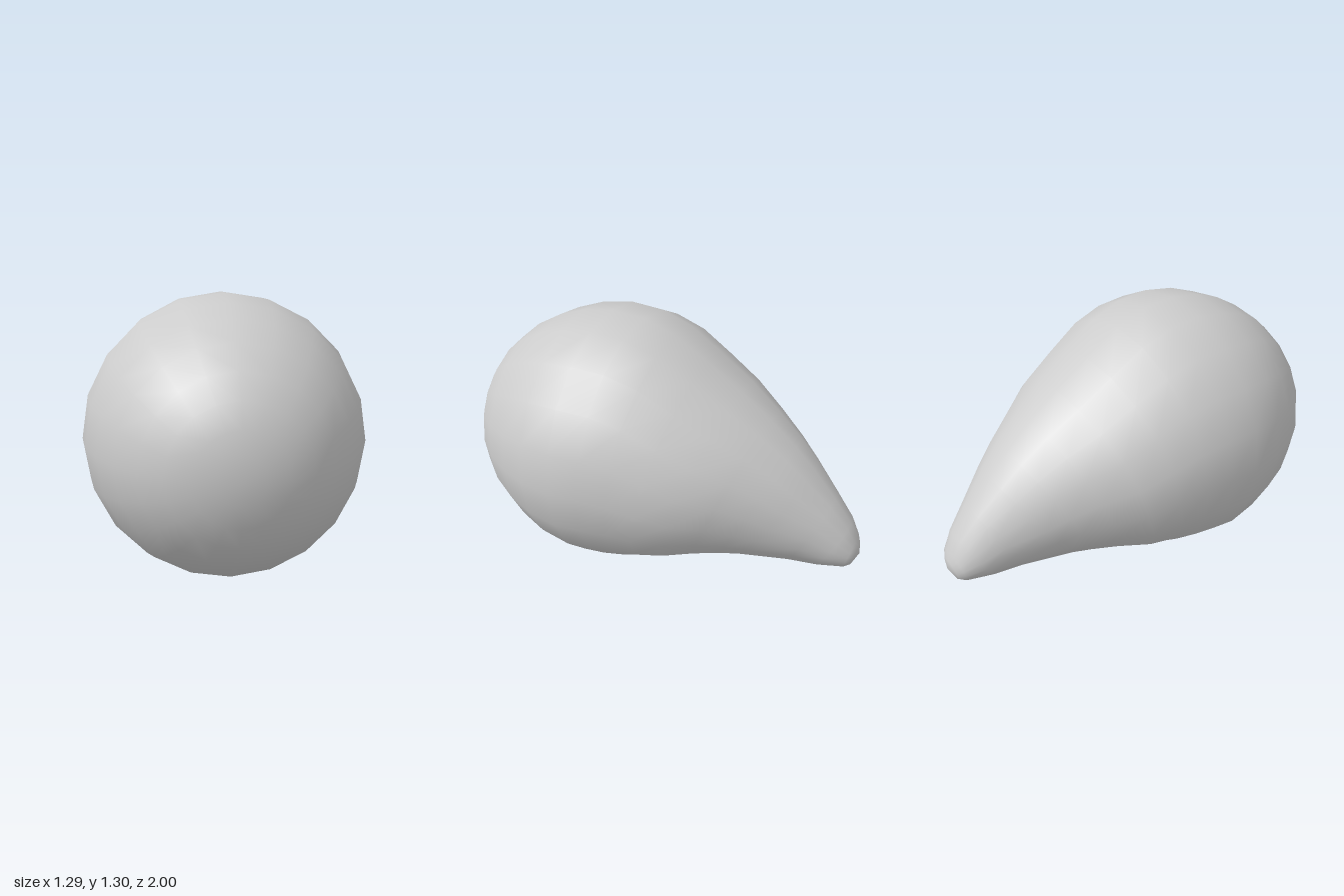
import * as THREE from 'three';

const SIDES = 20;

// Cross-sections from nose to tail: [top z, top y, bottom z, bottom y, half width]
const noseRings = [
  [0.99, 0.1], [0.97, 0.2], [0.925, 0.3], [0.85, 0.4],
  [0.74, 0.495], [0.61, 0.57], [0.47, 0.622],
].map(([z, r]) => [z, 0.648 + r, z, 0.648 - r, r]);

const tailRings = [
  [0.31, 1.297, 0.31, 0, 0.646],
  [0.14, 1.288, 0.21, 0.008, 0.63],
  [-0.02, 1.235, 0.1, 0.035, 0.605],
  [-0.19, 1.13, 0.02, 0.063, 0.567],
  [-0.36, 1.02, -0.08, 0.09, 0.52],
  [-0.51, 0.91, -0.22, 0.13, 0.425],
  [-0.64, 0.8, -0.325, 0.157, 0.352],
  [-0.74, 0.7, -0.4, 0.172, 0.295],
  [-0.85, 0.573, -0.66, 0.196, 0.2],
  [-0.94, 0.46, -0.8, 0.205, 0.148],
  [-0.977, 0.38, -0.94, 0.228, 0.1],
  [-0.992, 0.345, -0.97, 0.237, 0.06],
];

// Skin a closed surface over tilted elliptical rings, with a pole at each end
function loft(rings, front, back) {
  const pos = [], index = [];
  for (const [tz, ty, bz, by, w] of rings) {
    for (let i = 0; i < SIDES; i++) {
      const a = (i / SIDES) * Math.PI * 2, c = Math.cos(a) / 2;
      pos.push(w * Math.sin(a), (ty + by) / 2 + (ty - by) * c, (tz + bz) / 2 + (tz - bz) * c);
    }
  }
  const first = rings.length * SIDES, last = first + 1;
  pos.push(...front, ...back);
  const at = (k, i) => k * SIDES + (i % SIDES);
  for (let i = 0; i < SIDES; i++) {
    index.push(first, at(0, i + 1), at(0, i));
    for (let k = 0; k < rings.length - 1; k++) {
      index.push(at(k, i), at(k, i + 1), at(k + 1, i));
      index.push(at(k, i + 1), at(k + 1, i + 1), at(k + 1, i));
    }
    index.push(last, at(rings.length - 1, i), at(rings.length - 1, i + 1));
  }
  const geo = new THREE.BufferGeometry();
  geo.setAttribute('position', new THREE.Float32BufferAttribute(pos, 3));
  geo.setIndex(index);
  geo.computeVertexNormals();
  return geo;
}

export function createModel() {
  const group = new THREE.Group();
  group.name = 'teardrop';
  // Round bulb tapering into a drooping tail
  const body = new THREE.Mesh(
    loft([...noseRings, ...tailRings], [0, 0.648, 1], [0, 0.3, -1]),
    new THREE.MeshStandardMaterial({ color: 0xcccccc }),
  );
  body.name = 'teardropBody';
  group.add(body);
  return group;
}
